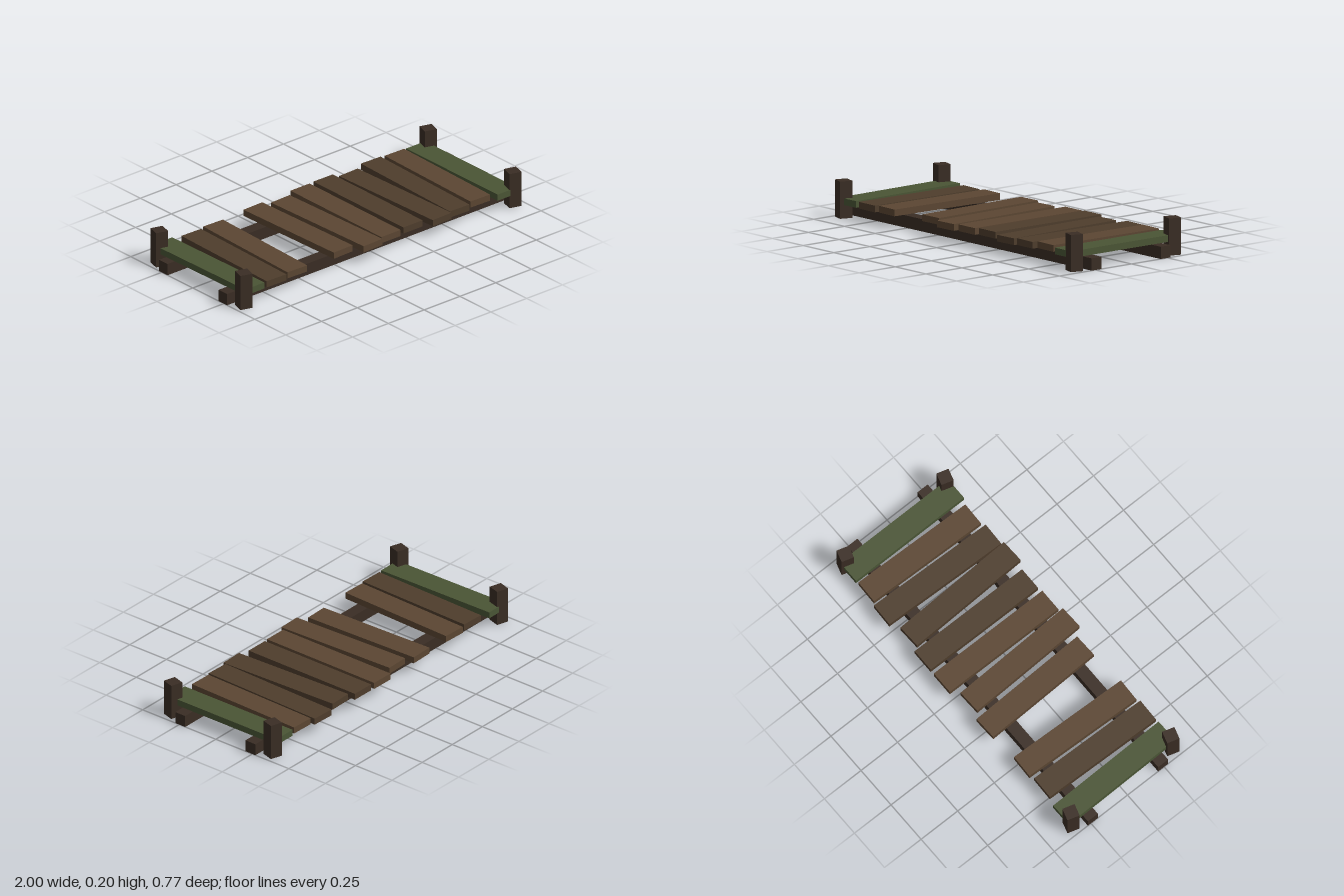
import * as THREE from 'three';

const material = (color) => new THREE.MeshStandardMaterial({ color, flatShading: true });

export function createModel() {
  const model = new THREE.Group();
  const darkWood = material(0x3a2d24);
  const brown = material(0x5b4632);
  const umber = material(0x4e3d2c);
  const mossGreen = material(0x4a5535);

  const addBox = (name, mat, size, position, turn = 0) => {
    const mesh = new THREE.Mesh(new THREE.BoxGeometry(...size), mat);
    mesh.name = name;
    mesh.position.set(...position);
    mesh.rotation.y = turn;
    model.add(mesh);
  };

  // Two long beams carrying the deck
  for (const z of [0.243, -0.237]) addBox('beam', darkWood, [2, 0.066, 0.068], [0, 0.033, z]);

  // Corner posts, all twisted the same way
  for (const x of [-0.941, 0.937])
    for (const z of [0.344, -0.338]) addBox('cornerPost', darkWood, [0.07, 0.2, 0.07], [x, 0.1, z], -0.29);

  // Deck planks, laid unevenly with one missing: x, z, length, turn, top height, material
  const planks = [
    [-0.888, 0, 0.73, 0.016, 0.108, mossGreen],
    [-0.72, 0.008, 0.71, -0.026, 0.107, umber],
    [-0.564, 0, 0.71, -0.036, 0.108, brown],
    [-0.251, -0.016, 0.705, 0.03, 0.111, brown],
    [-0.082, 0.02, 0.72, 0.034, 0.11, brown],
    [0.078, -0.013, 0.738, -0.006, 0.108, brown],
    [0.238, -0.016, 0.73, -0.006, 0.111, umber],
    [0.404, 0.012, 0.728, 0.034, 0.107, umber],
    [0.565, -0.013, 0.745, -0.032, 0.107, umber],
    [0.717, -0.01, 0.715, -0.027, 0.112, brown],
    [0.877, 0, 0.738, 0, 0.107, mossGreen],
  ];
  for (const [x, z, length, turn, top, mat] of planks)
    addBox(mat === mossGreen ? 'endPlank' : 'plank', mat, [0.134, 0.036, length], [x, top - 0.018, z], turn);

  return model;
}
